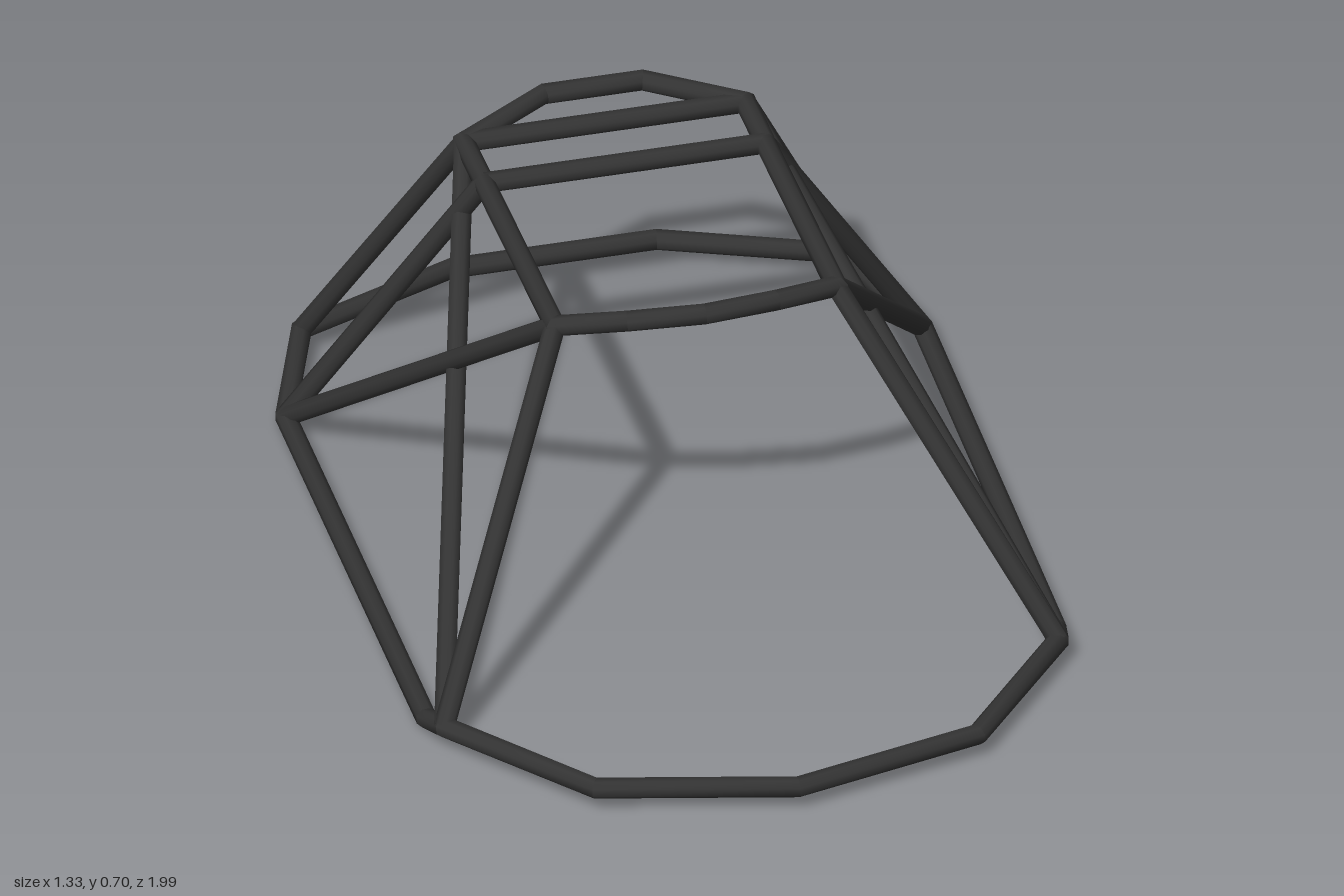
import * as THREE from 'three';

const RADIUS = 0.021;
const SIDES = 8;
const UP = new THREE.Vector3(0, 1, 0);
const material = new THREE.MeshStandardMaterial({ color: 0x333333 });

// Straight pipe segments along a path, mitred where they meet
function pipe(name, path, closed = false, radius = RADIUS) {
  const pts = path.map((p) => new THREE.Vector3(...p));
  const n = pts.length;
  const segments = closed ? n : n - 1;
  const dir = (i) => pts[(i + 1) % n].clone().sub(pts[i % n]).normalize();

  const rings = pts.map((p, i) => {
    const out = !closed && i === n - 1 ? dir(n - 2) : dir(i);
    const into = !closed && i === 0 ? out : dir((i + n - 1) % n);
    const tangent = into.clone().add(out).normalize();
    const side = UP.clone().cross(tangent).normalize();
    const rise = tangent.clone().cross(side);
    const stretch = 1 / tangent.dot(out);
    return Array.from({ length: SIDES }, (_, j) => {
      const a = ((j + 0.5) / SIDES) * Math.PI * 2;
      return p.clone()
        .addScaledVector(side, Math.cos(a) * radius * stretch)
        .addScaledVector(rise, Math.sin(a) * radius);
    });
  });

  const positions = [];
  const index = [];
  const add = (v) => positions.push(v.x, v.y, v.z);
  for (let i = 0; i < segments; i++) {
    const base = positions.length / 3;
    rings[i].forEach(add);
    rings[(i + 1) % n].forEach(add);
    for (let j = 0; j < SIDES; j++) {
      const a = base + j;
      const b = base + ((j + 1) % SIDES);
      index.push(a, b, a + SIDES, b, b + SIDES, a + SIDES);
    }
  }
  // End caps
  if (!closed) {
    [0, n - 1].forEach((i) => {
      const base = positions.length / 3;
      rings[i].forEach(add);
      for (let j = 1; j < SIDES - 1; j++) {
        if (i === 0) index.push(base, base + j + 1, base + j);
        else index.push(base, base + j, base + j + 1);
      }
    });
  }

  const geometry = new THREE.BufferGeometry();
  geometry.setAttribute('position', new THREE.Float32BufferAttribute(positions, 3));
  geometry.setIndex(index);
  geometry.computeVertexNormals();
  const mesh = new THREE.Mesh(geometry, material);
  mesh.name = name;
  return mesh;
}

const mirror = ([x, y, z]) => [-x, y, z];

export function createModel() {
  const group = new THREE.Group();
  group.name = 'tubularFrame';

  // Joints on the left side
  const lowFront = [0.622, 0.06, 0.6];
  const lowRear = [0.645, 0.031, -0.58];
  const lowTail = [0.548, 0.055, -0.835];
  const topFront = [0.285, 0.663, 0.155];
  const topMid = [0.285, 0.632, -0.413];
  const topRear = [0.285, 0.625, -0.573];

  // Closed hoop around the bottom
  const leftBase = [
    [0.387, 0.06, 0.883], lowFront, [0.638, 0.031, 0.52],
    lowRear, lowTail, [0.207, 0.05, -0.979],
  ];
  group.add(pipe('baseHoop',
    [[0, 0.06, 0.976], ...leftBase, ...leftBase.map(mirror).reverse()], true));

  // Closed hoop around the roof, bowed at front and rear
  const leftRoof = [
    [0.15, 0.683, 0.203], topFront, topMid, topRear, [0.1, 0.646, -0.668],
  ];
  group.add(pipe('roofHoop',
    [[0, 0.69, 0.226], ...leftRoof, ...leftRoof.map(mirror).reverse()], true));

  // Roof crossbars
  group.add(pipe('middleCrossbar', [topMid, mirror(topMid)]));
  group.add(pipe('rearCrossbar', [topRear, mirror(topRear)]));

  // Side struts, mirrored
  const struts = {
    FrontPillar: [lowFront, topFront],
    LongDiagonal: [lowFront, topRear],
    CrossDiagonal: [topFront, lowRear],
    MiddlePillar: [topMid, lowRear],
    RearPillar: [topRear, lowTail],
  };
  for (const [name, path] of Object.entries(struts)) {
    group.add(pipe('left' + name, path));
    group.add(pipe('right' + name, path.map(mirror)));
  }

  // Rest the lowest pipes on the ground
  group.position.y = -new THREE.Box3().setFromObject(group).min.y;
  return group;
}
